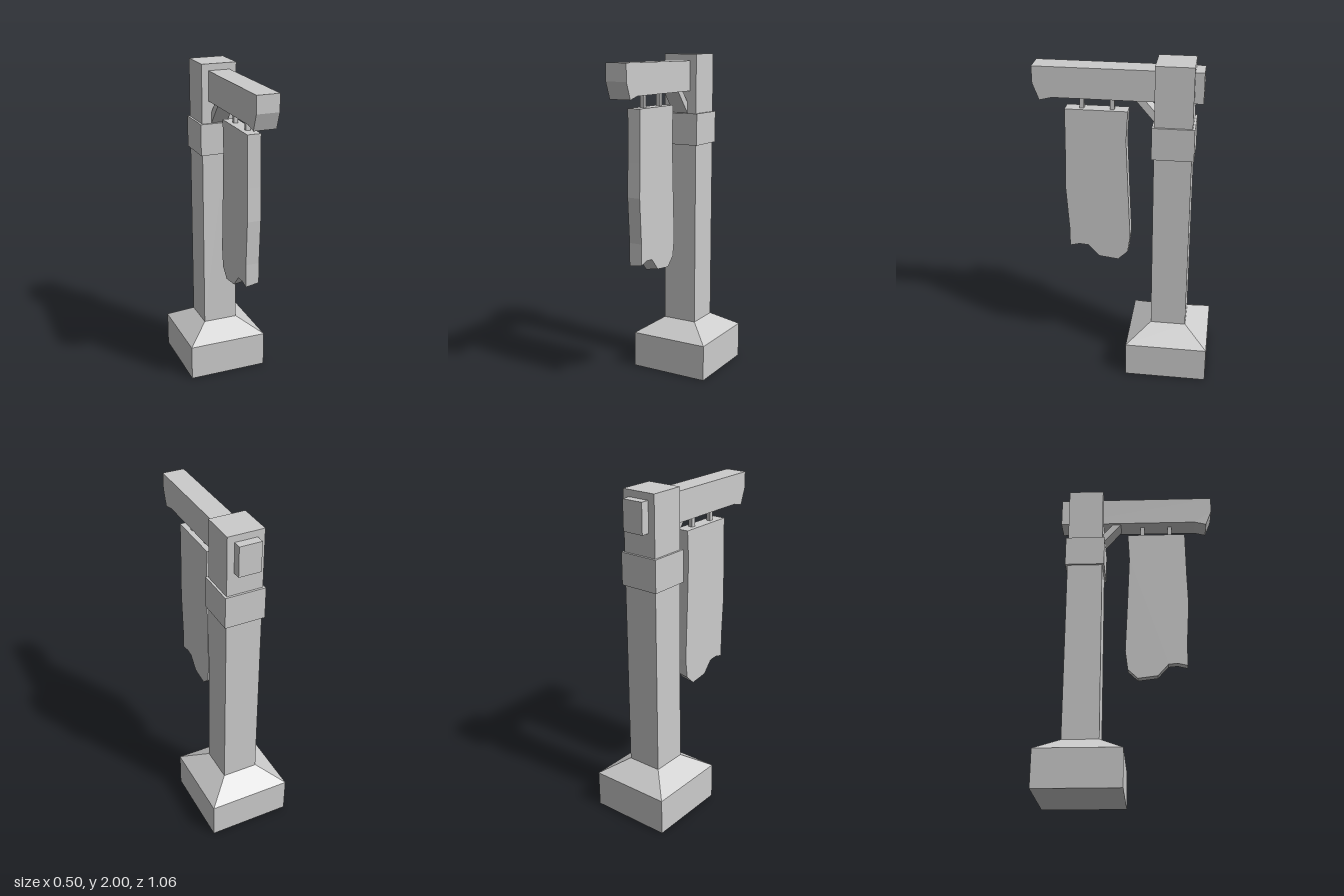
import * as THREE from 'three';

const POST_Z = -0.277;

export function createModel() {
  const model = new THREE.Group();
  const stone = new THREE.MeshStandardMaterial({ color: 0xcccccc, flatShading: true });
  stone.name = 'plain grey';

  const add = (name, geometry) => {
    const mesh = new THREE.Mesh(geometry, stone);
    mesh.name = name;
    model.add(mesh);
    return mesh;
  };

  // Square block around the post axis; top and bottom may differ in half width
  const block = (name, bottom, top, y0, y1) => {
    const geometry = new THREE.CylinderGeometry(top * Math.SQRT2, bottom * Math.SQRT2, y1 - y0, 4);
    geometry.rotateY(Math.PI / 4);
    geometry.translate(0, (y0 + y1) / 2, POST_Z);
    return add(name, geometry);
  };

  // Side outline given as [z, y], extruded across x
  const slab = (name, outline, width) => {
    const shape = new THREE.Shape(outline.map(([z, y]) => new THREE.Vector2(z, y)));
    const geometry = new THREE.ExtrudeGeometry(shape, { depth: width, bevelEnabled: false });
    geometry.translate(0, 0, -width / 2);
    geometry.rotateY(-Math.PI / 2);
    return add(name, geometry);
  };

  // Pedestal, post and collar
  block('pedestal', 0.252, 0.252, 0, 0.225);
  block('pedestalSlope', 0.252, 0.11, 0.225, 0.317);
  block('post', 0.109, 0.109, 0.317, 2);
  block('collar', 0.122, 0.122, 1.452, 1.645);

  // Beam through the post, with a carved front end
  slab('beam', [
    [-0.438, 1.78], [0.42, 1.78], [0.493, 1.762], [0.53, 1.86], [0.53, 1.96], [-0.438, 1.96],
  ], 0.134);

  // Diagonal brace under the beam
  slab('brace', [
    [-0.05, 1.785], [-0.105, 1.785], [-0.17, 1.71], [-0.17, 1.645],
  ], 0.1);

  // Pegs holding the banner
  for (const z of [0.259, 0.083]) {
    const peg = add('bannerPeg', new THREE.BoxGeometry(0.026, 0.1, 0.026));
    peg.position.set(0, 1.745, z);
  }

  // Thick hanging banner with a ragged lower edge
  const banner = slab('banner', [
    [0.355, 1.705], [0.36, 1.4], [0.366, 1.2], [0.35, 0.93], [0.35, 0.79], [0.29, 0.805],
    [0.235, 0.8], [0.17, 0.727], [0.05, 0.712], [-0.01, 0.77], [-0.025, 0.89],
    [-0.012, 1.2], [0, 1.525], [-0.01, 1.705],
  ], 0.082);

  // The lower edge is cut at a slight slant across its thickness
  const points = banner.geometry.attributes.position;
  for (let i = 0; i < points.count; i++) {
    if (points.getY(i) < 0.85 && points.getX(i) > 0) points.setY(i, points.getY(i) + 0.014);
  }
  banner.geometry.computeVertexNormals();

  return model;
}
